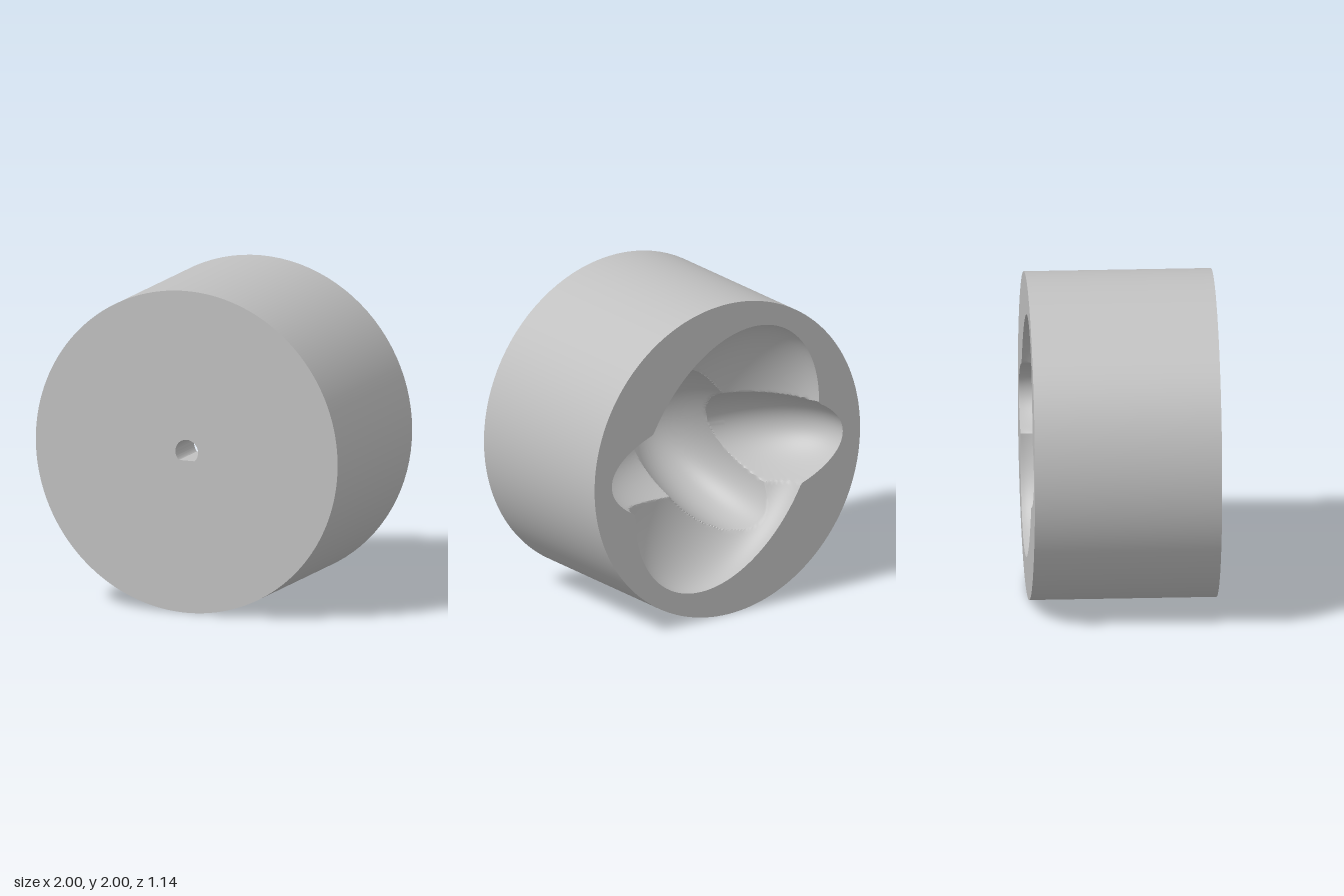
import * as THREE from 'three';
import { toCreasedNormals } from 'three/addons/utils/BufferGeometryUtils.js';

const HALF = 0.57;          // half thickness of the drum
const COLS = 240, ROWS = 80;
const LONG = 0.87, MID = 0.62, SHORT = 0.355;

// Three equal ellipsoids, turned in 60 degree steps and centred on the back face:
// [turn about z, radius along the turned x, radius along the turned y, depth]
const ellipsoids = [
  [0, LONG, SHORT, MID],
  [-Math.PI / 3, LONG, MID, SHORT],
  [Math.PI / 3, MID, SHORT, LONG],
];

// Distance from the centre to the wall of the joined ellipsoids
function wallRadius(x, y, z) {
  return Math.max(...ellipsoids.map(([turn, a, b, c]) => {
    const u = x * Math.cos(turn) + y * Math.sin(turn);
    const v = -x * Math.sin(turn) + y * Math.cos(turn);
    return 1 / Math.hypot(u / a, v / b, z / c);
  }));
}

// D-shaped shaft hole with a flat at the bottom
function shaftRadius(angle) {
  const s = Math.sin(angle);
  return s < 0 ? Math.min(0.075, 0.054 / -s) : 0.075;
}

function wallPoint(angle, row) {
  const h = shaftRadius(angle);
  if (row === 0) return [h * Math.cos(angle), h * Math.sin(angle), HALF];
  const start = Math.atan(h / 0.855);
  const polar = start + (Math.PI / 2 - start) * (row - 1) / (ROWS - 1);
  const x = Math.sin(polar) * Math.cos(angle);
  const y = Math.sin(polar) * Math.sin(angle);
  const z = Math.cos(polar);
  const r = wallRadius(x, y, z);
  return [x * r, y * r, z * r - HALF];
}

// Shaft tunnel and cavity wall as one inward-facing grid
function cavityGeometry() {
  const positions = [], index = [];
  for (let i = 0; i <= ROWS; i++) {
    for (let j = 0; j < COLS; j++) positions.push(...wallPoint(j / COLS * 2 * Math.PI, i));
  }
  for (let i = 0; i < ROWS; i++) {
    for (let j = 0; j < COLS; j++) {
      const k = (j + 1) % COLS;
      const a = i * COLS + j, b = a + COLS, d = i * COLS + k, c = d + COLS;
      index.push(a, d, c, a, c, b);
    }
  }
  const geometry = new THREE.BufferGeometry();
  geometry.setAttribute('position', new THREE.Float32BufferAttribute(positions, 3));
  geometry.setIndex(index);
  return toCreasedNormals(geometry, 0.45);
}

// Flat disc with an opening that follows one row of the cavity grid
function discGeometry(row, flip) {
  const shape = new THREE.Shape().absarc(0, 0, 1, 0, Math.PI * 2);
  const opening = [];
  for (let j = 0; j < COLS; j++) {
    const [x, y] = wallPoint(j / COLS * 2 * Math.PI, row);
    opening.push(new THREE.Vector2(flip * x, y));
  }
  shape.holes.push(new THREE.Path(opening));
  return new THREE.ShapeGeometry(shape, 96);
}

export function createModel() {
  const model = new THREE.Group();
  model.name = 'drumWithCavity';
  const grey = new THREE.MeshStandardMaterial({ color: 0xc0c0c0 });
  grey.name = 'lightGrey';

  const add = (name, geometry) => {
    const mesh = new THREE.Mesh(geometry, grey);
    mesh.name = name;
    mesh.position.y = 1;
    model.add(mesh);
  };

  add('outerWall', new THREE.CylinderGeometry(1, 1, 2 * HALF, 96, 1, true).rotateX(Math.PI / 2));
  add('frontFace', discGeometry(0, 1).translate(0, 0, HALF));
  add('backFace', discGeometry(ROWS, -1).rotateY(Math.PI).translate(0, 0, -HALF));
  add('cavityAndShaftHole', cavityGeometry());
  return model;
}
